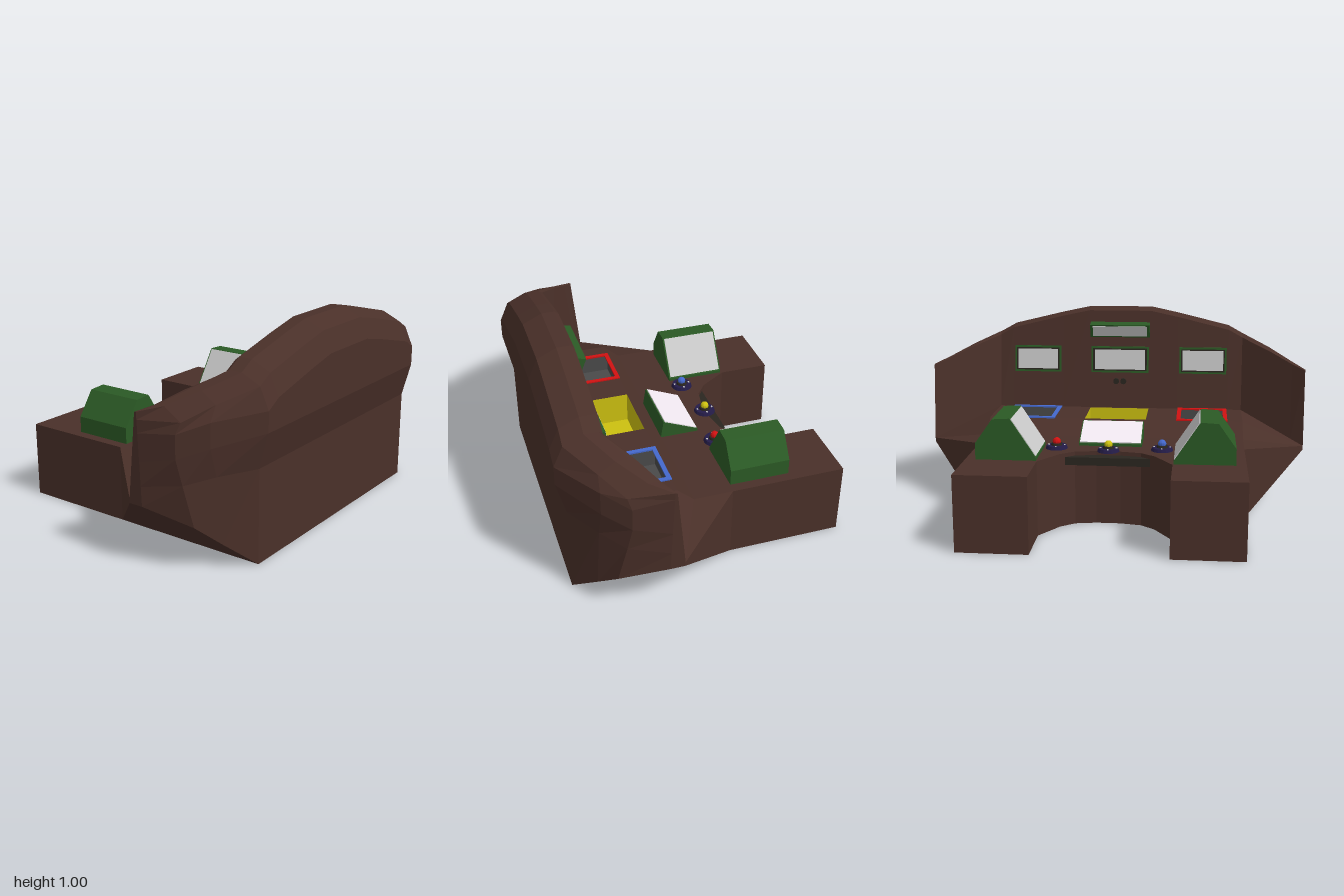
import * as THREE from 'three';

const mat = (color) => new THREE.MeshStandardMaterial({ color, flatShading: true, side: THREE.DoubleSide });
const BROWN = mat(0x4a3029), GREEN = mat(0x2b5a25), DARK = mat(0x2a2620), GREY = mat(0x4a4a4a);
const YELLOW = mat(0xccc010), RED = mat(0xd01212), BLUE = mat(0x4468cc), PURPLE = mat(0x241c48);
const SCREEN = mat(0xcccccc), PALE = mat(0xf0e8f0);

export function createModel() {
  const model = new THREE.Group();

  const add = (name, geometry, material, x = 0, y = 0, z = 0, parent = model) => {
    const mesh = new THREE.Mesh(geometry, material);
    mesh.name = name;
    mesh.position.set(x, y, z);
    parent.add(mesh);
    return mesh;
  };
  const box = (name, w, h, d, material, x, y, z, parent) =>
    add(name, new THREE.BoxGeometry(w, h, d), material, x, y, z, parent);

  // Faceted surface from a list of polygons, each cut as a fan
  const facets = (polygons) => {
    const out = [];
    for (const p of polygons)
      for (let i = 1; i < p.length - 1; i++) out.push(...p[0], ...p[i], ...p[i + 1]);
    const g = new THREE.BufferGeometry();
    g.setAttribute('position', new THREE.Float32BufferAttribute(out, 3));
    g.computeVertexNormals();
    return g;
  };
  // Plan outline from [x, z] points, laid flat by rotateX
  const outline = (pts, Type = THREE.Shape) => new Type(pts.map(([x, z]) => new THREE.Vector2(x, -z)));
  const rect = (x0, x1, z0, z1) => [[x0, z0], [x1, z0], [x1, z1], [x0, z1]];
  const flat = (g) => g.rotateX(-Math.PI / 2);

  // Desk base with pedestals and a rounded knee space
  const half = [[0.325, -0.71], [0.325, -0.45], [0.235, -0.31], [0.165, -0.255], [0.06, -0.235]];
  const mirrored = half.map(([x, z]) => [-x, z]).reverse();
  const plan = [[0.675, 0.06], [0.675, -0.71], ...half, ...mirrored, [-0.675, -0.71], [-0.675, 0.06]];
  add('deskBase', flat(new THREE.ExtrudeGeometry(outline(plan), { depth: 0.375, bevelEnabled: false })), BROWN);
  add('deskFloor', facets([rect(-0.675, 0.675, 0.06, 0.665).map(([x, z]) => [x, 0, z])]), BROWN);
  box('kneeLedge', 0.48, 0.04, 0.1, DARK, 0, 0.335, -0.24);

  // Curved wall: cross-sections run from the outer foot over the top to the inner foot
  const section = (x, top) => [
    [x, 0, 0.665], [x, 0.45, 0.665], [x, 0.62, 0.71], [x, top - 0.145, 0.71], [x, top - 0.045, 0.665],
    [x, top, 0.57], [x, top, 0.505], [x, top - 0.015, 0.485], [x, 0.45, 0.435],
  ];
  const wingMid = [
    [0.81, 0.12, 0.57], [0.84, 0.44, 0.56], [0.875, 0.575, 0.555], [0.875, 0.69, 0.555], [0.83, 0.755, 0.55],
    [0.82, 0.8, 0.47], [0.82, 0.8, 0.41], [0.82, 0.79, 0.38], [0.82, 0.388, 0.335],
  ];
  const wingOuter = [
    [0.92, 0.22, 0.5], [0.945, 0.41, 0.46], [0.965, 0.53, 0.44], [0.965, 0.64, 0.44], [0.945, 0.69, 0.455],
    [0.935, 0.742, 0.36], [0.935, 0.742, 0.32], [0.935, 0.735, 0.3], [0.935, 0.338, 0.255],
  ];
  const wingEnd = [
    [1, 0.29, 0.28], [1, 0.38, 0.27], [1, 0.49, 0.26], [1, 0.62, 0.26], [1, 0.68, 0.262],
    [1, 0.715, 0.26], [1, 0.715, 0.255], [1, 0.71, 0.25], [1, 0.31, 0.21],
  ];
  const right = [
    section(0.17, 1.005), section(0.32, 0.973), section(0.6, 0.905), section(0.675, 0.863),
    wingMid, wingOuter, wingEnd,
  ];
  const flip = (p) => [-p[0], p[1], p[2]];
  const stations = [...right.map((s) => s.map(flip)).reverse(), ...right];
  const wall = [wingEnd, wingEnd.map(flip)];
  for (let i = 0; i < stations.length - 1; i++)
    for (let j = 0; j < 8; j++)
      wall.push([stations[i][j], stations[i + 1][j], stations[i + 1][j + 1], stations[i][j + 1]]);
  add('curvedWall', facets(wall), BROWN);

  // Side wings: sloping undersides, back faces and tops that meet at the tips
  for (const s of [1, -1]) {
    const P = (x, y, z) => [s * x, y, z];
    const tip = P(1, 0.31, 0.21), under = P(1, 0.29, 0.21), foot = P(0.675, 0, -0.135);
    add(s > 0 ? 'leftWing' : 'rightWing', facets([
      [foot, under, P(1, 0.29, 0.28), P(0.92, 0.22, 0.5), P(0.81, 0.12, 0.57), P(0.675, 0, 0.665)],
      [foot, P(0.675, 0.375, -0.135), tip, under],
      [under, tip, P(1, 0.29, 0.28)],
      [tip, P(0.675, 0.375, -0.135), P(0.675, 0.375, 0.06)],
      [tip, P(0.675, 0.375, 0.06), P(0.675, 0.45, 0.145)],
      [tip, P(0.675, 0.45, 0.145), P(0.675, 0.45, 0.435)],
    ]), BROWN);
  }

  // Raised control top with three openings
  const top = outline(rect(-0.675, 0.675, 0.145, 0.435));
  for (const [x, w] of [[-0.46, 0.115], [0, 0.163], [0.46, 0.115]])
    top.holes.push(outline(rect(x - w, x + w, 0.15, 0.425), THREE.Path));
  add('controlTop', flat(new THREE.ShapeGeometry(top)), BROWN, 0, 0.45, 0);
  add('controlSlope', facets([[[-0.675, 0.375, 0.06], [-0.675, 0.45, 0.145],
    [0.675, 0.45, 0.145], [0.675, 0.375, 0.06]]]), BROWN);

  // Open trays sunk into the control top
  const tray = (name, x, w, depth, material) => {
    const y = 0.45, b = y - depth, c = rect(x - w, x + w, 0.15, 0.425);
    const faces = [c.map(([px, pz]) => [px, b, pz]).reverse()];
    c.forEach(([px, pz], i) => {
      const [qx, qz] = c[(i + 1) % 4];
      faces.push([[px, b, pz], [qx, b, qz], [qx, y, qz], [px, y, pz]]);
    });
    add(name, facets(faces), material);
  };
  tray('centreTray', 0, 0.163, 0.16, YELLOW);
  for (const [x, material, name] of [[-0.46, RED, 'redTray'], [0.46, BLUE, 'blueTray']]) {
    tray(name, x, 0.115, 0.09, GREY);
    const rim = outline(rect(x - 0.135, x + 0.135, 0.143, 0.434));
    rim.holes.push(outline(rect(x - 0.113, x + 0.113, 0.165, 0.412), THREE.Path));
    add(name + 'Rim', flat(new THREE.ExtrudeGeometry(rim, { depth: 0.008, bevelEnabled: false })),
      material, 0, 0.448, 0);
  }

  // Framed screens on the inner wall
  for (const x of [-0.46, 0, 0.46]) {
    const g = new THREE.Group();
    g.name = 'wallScreen';
    g.position.set(x, 0.72, 0.458);
    g.rotation.x = 0.09;
    box('frame', x ? 0.26 : 0.32, 0.145, 0.024, GREEN, 0, 0, 0, g);
    box('bezel', x ? 0.24 : 0.3, 0.125, 0.004, DARK, 0, 0, -0.012, g);
    box('glass', x ? 0.225 : 0.28, 0.11, 0.004, SCREEN, 0, 0, -0.0145, g);
    model.add(g);
  }

  // Hooded strip screen above, and a pair of small dials below
  const prism = (pts, depth) => new THREE.ExtrudeGeometry(
    new THREE.Shape(pts.map(([a, b]) => new THREE.Vector2(a, b))), { depth, bevelEnabled: false });
  const hood = prism([[-0.49, 0.93], [-0.43, 0.915], [-0.458, 0.845], [-0.49, 0.845]], 0.33);
  add('upperScreenHood', hood.rotateY(Math.PI / 2), GREEN, -0.165, 0, 0);
  box('upperScreenGlass', 0.3, 0.06, 0.004, SCREEN, 0, 0.88, 0.442).rotation.x = -0.38;
  for (const x of [-0.02, 0.02])
    add('wallDial', new THREE.CylinderGeometry(0.016, 0.016, 0.025, 12).rotateX(Math.PI / 2), DARK, x, 0.6, 0.443);

  // Monitors on the pedestals, facing the seat
  for (const s of [1, -1]) {
    const pts = [[0.33, 0.375], [0.33, 0.39], [0.455, 0.58], [0.54, 0.575], [0.625, 0.455], [0.625, 0.375]];
    add('pedestalMonitor', prism(pts.map(([x, y]) => [s * x, y]), 0.3), GREEN, 0, 0, -0.44);
    const glass = box('pedestalScreen', 0.215, 0.006, 0.285, SCREEN, s * 0.392, 0.486, -0.29);
    glass.rotation.z = s * Math.atan2(0.19, 0.125);
  }

  // Sloping reading panel
  const wedge = prism([[0.135, 0.375], [0.135, 0.388], [-0.048, 0.465], [-0.062, 0.375]], 0.32);
  add('readingPanelBase', wedge.rotateY(Math.PI / 2), GREEN, -0.16, 0, 0);
  box('readingPanel', 0.31, 0.006, 0.185, PALE, 0, 0.428, -0.045).rotation.x = -Math.atan2(0.077, 0.183);

  // Round control knobs
  for (const [x, z, material] of [[-0.265, -0.19, BLUE], [0, -0.23, YELLOW], [0.265, -0.19, RED]]) {
    const g = new THREE.Group();
    g.name = 'controlKnob';
    g.position.set(x, 0.375, z);
    add('plate', new THREE.CylinderGeometry(0.05, 0.056, 0.016, 16), PURPLE, 0, 0.008, 0, g);
    add('collar', new THREE.CylinderGeometry(0.026, 0.03, 0.014, 16), DARK, 0, 0.02, 0, g);
    add('cap', new THREE.SphereGeometry(0.021, 12, 8), material, 0, 0.034, 0, g);
    for (let i = 0; i < 4; i++) {
      const a = (i * Math.PI) / 2;
      box('stud', 0.008, 0.006, 0.008, SCREEN, 0.04 * Math.cos(a), 0.017, 0.04 * Math.sin(a), g);
    }
    model.add(g);
  }
  return model;
}
